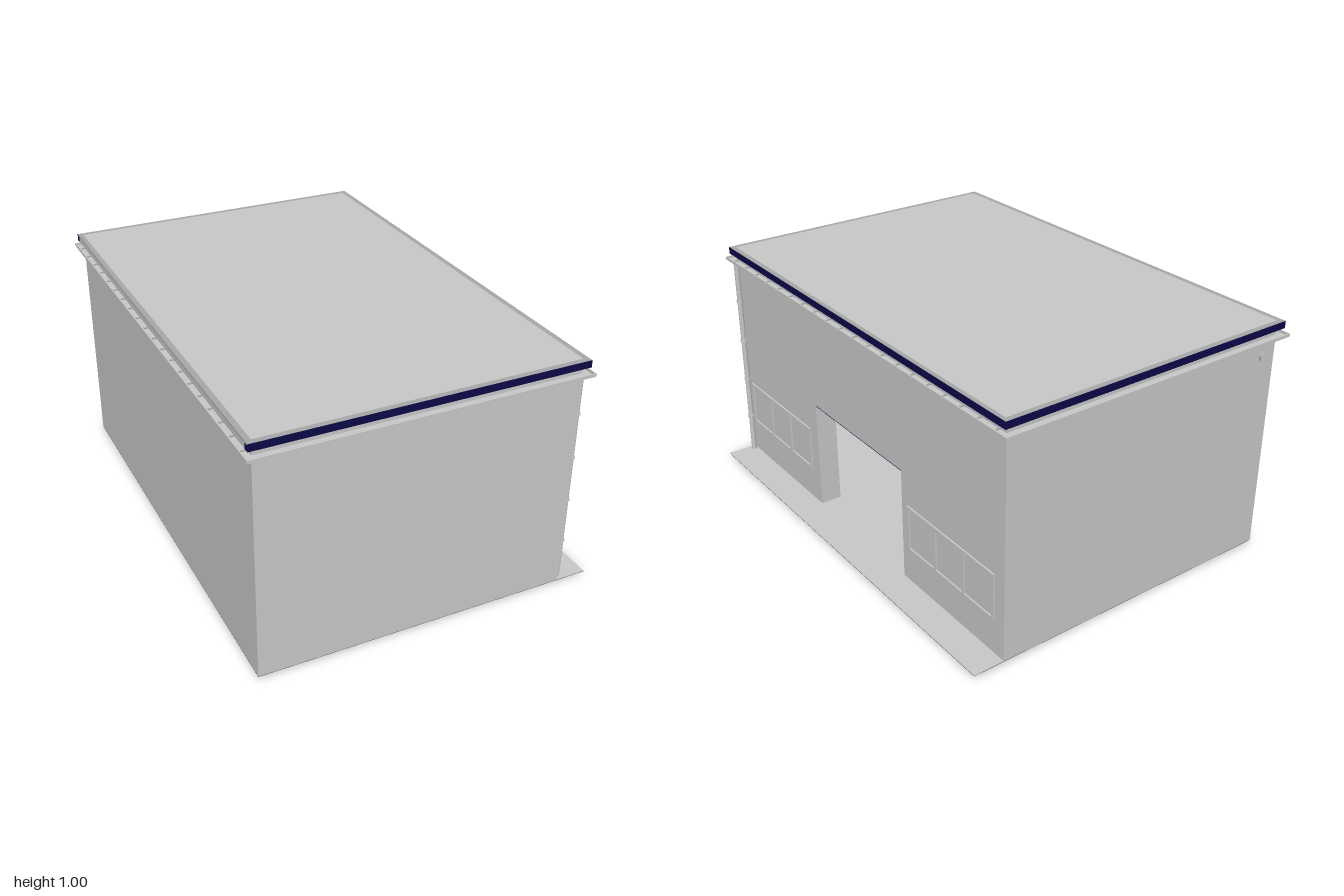
import * as THREE from 'three';

const mat = (name, color) => {
  const m = new THREE.MeshStandardMaterial({ color });
  m.name = name;
  return m;
};

export function createModel() {
  const model = new THREE.Group();
  model.name = 'building';
  const gray = mat('lightGray', 0xc8c8c8);
  const rimGray = mat('rimGray', 0xa8a8a8);
  const navy = mat('navy', 0x0c0848);
  const under = mat('undersideGray', 0x6c6c6c);

  const add = (name, geometry, material, parent = model) => {
    const mesh = new THREE.Mesh(geometry, material);
    mesh.name = name;
    parent.add(mesh);
    return mesh;
  };
  // Box given by its limits on each axis
  const box = (name, x0, x1, y0, y1, z0, z1, material, parent) => {
    const mesh = add(name, new THREE.BoxGeometry(x1 - x0, y1 - y0, z1 - z0), material, parent);
    mesh.position.set((x0 + x1) / 2, (y0 + y1) / 2, (z0 + z1) / 2);
    return mesh;
  };
  // Rectangular ring of four bars; mats are [front, back, plusX, minusX]
  const ring = (name, x0, x1, z, w, y0, y1, mats) => {
    const g = new THREE.Group();
    g.name = name;
    box(name + 'Front', x0, x1, y0, y1, z - w, z, mats[0], g);
    box(name + 'Back', x0, x1, y0, y1, -z, w - z, mats[1], g);
    box(name + 'Left', x1 - w, x1, y0, y1, w - z, z - w, mats[2], g);
    box(name + 'Right', x0, x0 + w, y0, y1, w - z, z - w, mats[3], g);
    model.add(g);
  };
  const all = (m) => [m, m, m, m];

  const X0 = -0.69, X1 = 0.59, Z = 0.96, FLOOR = 0.02, EAVE = 0.975;

  // Floor slab, reaching out past the entrance wall
  box('floor', X0, 0.72, FLOOR - 0.001, FLOOR + 0.001, -Z, Z, gray);
  box('floorUnderside', X0, 0.72, FLOOR - 0.003, FLOOR - 0.001, -Z, Z, under);

  // Three plain walls
  box('frontWall', X0, X1, FLOOR, EAVE, Z - 0.03, Z, gray);
  box('backWall', X0, X1, FLOOR, EAVE, -Z, 0.03 - Z, gray);
  box('rightWall', X0, X0 + 0.03, FLOOR, EAVE, 0.03 - Z, Z - 0.03, gray);

  // Thick entrance wall with a doorway; shape x runs along -z
  const s = new THREE.Shape();
  const outline = [[-Z, FLOOR], [-0.325, FLOOR], [-0.325, 0.5], [0.32, 0.5], [0.32, FLOOR], [Z, FLOOR], [Z, EAVE], [-Z, EAVE]];
  s.setFromPoints(outline.map(([a, b]) => new THREE.Vector2(a, b)));
  const wall = add('entranceWall', new THREE.ExtrudeGeometry(s, { depth: 0.09, bevelEnabled: false }), gray);
  wall.rotation.y = Math.PI / 2;
  wall.position.x = X1 - 0.09;
  box('doorSoffit', X1 - 0.09, X1 - 0.001, 0.496, 0.5, -0.32, 0.325, navy);

  // Window bands, three panes each, with raised frames
  for (const [z0, z1] of [[0.385, 0.92], [-0.905, -0.36]]) {
    const g = new THREE.Group();
    g.name = 'windowBand';
    model.add(g);
    const y0 = 0.165, y1 = 0.365, t = 0.013, step = (z1 - z0 - t) / 3;
    for (const y of [y0, y1 - t]) box('windowRail', X1, X1 + 0.007, y, y + t, z0, z1, gray, g);
    for (let i = 0; i < 4; i++) {
      box('windowPost', X1, X1 + 0.007, y0 + t, y1 - t, z0 + i * step, z0 + i * step + t, gray, g);
    }
  }

  // Roof: ceiling, deck, rim and painted fascia
  box('ceiling', X0 + 0.03, X1 - 0.09, 0.94, 0.95, 0.03 - Z, Z - 0.03, gray);
  box('roofDeck', X0, X1 + 0.003, 0.96, 1.005, -Z, Z, gray);
  ring('roofRim', -0.71, 0.61, 0.98, 0.022, 0.999, 1.005, all(rimGray));
  ring('fascia', -0.71, 0.61, 0.98, 0.022, EAVE, 0.999, [navy, navy, navy, gray]);
  for (const z of [-0.98, 0.98]) box('fasciaFace', -0.711, 0.611, EAVE, 1.004, z - 0.001, z + 0.001, navy);
  box('fasciaFace', 0.609, 0.611, EAVE, 1.004, -0.98, 0.98, navy);

  // Gutter channel: bottom plate and outer lip, with hangers
  ring('gutterBase', -0.72, 0.62, 0.998, 0.038, 0.943, 0.947, all(gray));
  ring('gutterLip', -0.722, 0.622, 1, 0.005, 0.945, 0.957, all(gray));
  for (let i = 0; i < 20; i++) {
    const z = -0.93 + i * 0.098;
    box('gutterHanger', -0.719, X0, 0.951, 0.955, z - 0.003, z + 0.003, rimGray);
    box('gutterHanger', X1, 0.619, 0.951, 0.955, z - 0.003, z + 0.003, rimGray);
  }

  // Downpipe with collars
  const px = 0.606, pz = 0.935;
  add('downpipe', new THREE.CylinderGeometry(0.011, 0.011, 0.945, 16), gray).position.set(px, 0.4725, pz);
  for (const y of [0.195, 0.385, 0.575, 0.765]) {
    add('pipeCollar', new THREE.CylinderGeometry(0.015, 0.015, 0.008, 16), gray).position.set(px, y, pz);
    box('pipeBracket', X1, px, y - 0.003, y + 0.003, pz - 0.004, pz + 0.004, gray);
  }

  // Small round lamp high on the back wall
  const lamp = add('lamp', new THREE.CylinderGeometry(0.013, 0.022, 0.018, 20), gray);
  lamp.rotation.x = Math.PI / 2;
  lamp.position.set(-0.62, 0.877, -Z - 0.008);

  // Drain stubs beneath the floor
  for (const x of [0.47, 0.56]) {
    for (const z of [0.38, 0.515]) {
      add('drainStub', new THREE.CylinderGeometry(0.007, 0.007, 0.008, 12), gray).position.set(x, 0.014, z);
    }
  }
  return model;
}
